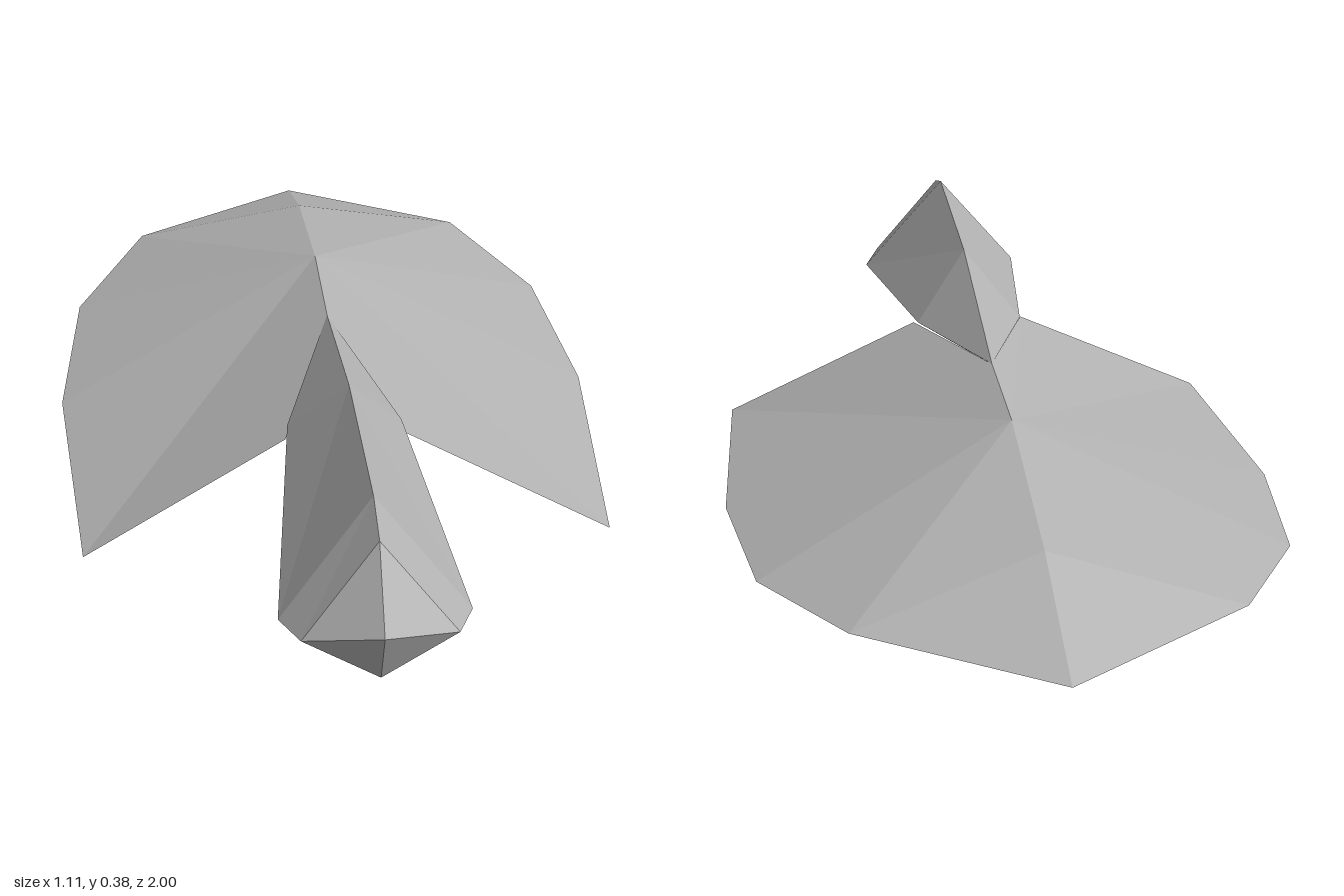
import * as THREE from 'three';

// Builds a faceted mesh from the +x half: each triangle is mirrored to -x.
function mirroredMesh(name, points, triangles, material) {
  const positions = [];
  for (const [a, b, c] of triangles) {
    for (const key of [a, b, c]) positions.push(...points[key]);
    for (const key of [a, c, b]) {
      const [x, y, z] = points[key];
      positions.push(-x, y, z);
    }
  }
  const geometry = new THREE.BufferGeometry();
  geometry.setAttribute('position', new THREE.Float32BufferAttribute(positions, 3));
  geometry.computeVertexNormals();
  const mesh = new THREE.Mesh(geometry, material);
  mesh.name = name;
  return mesh;
}

export function createModel() {
  const group = new THREE.Group();
  group.name = 'shellAndBody';

  const grey = new THREE.MeshStandardMaterial({
    color: 0xb2b2b2, flatShading: true, side: THREE.DoubleSide,
  });
  grey.name = 'grey';

  // Thin shell: a fan of facets spreading from the apex to the rim
  const shellPoints = {
    apex: [0, 0.26, -0.3],
    ridge: [0, 0.265, -0.03],
    inner: [0.118, 0.21, 0.352],
    corner: [0.52, 0, 0.41],
    side: [0.557, 0.025, -0.13],
    shoulder: [0.515, 0.05, -0.5],
    hip: [0.365, 0.08, -0.775],
    back: [0, 0.18, -0.7],
    tail: [0, 0.07, -1],
  };
  const rim = ['ridge', 'inner', 'corner', 'side', 'shoulder', 'hip', 'back'];
  const shellFaces = [['back', 'hip', 'tail']];
  for (let i = 0; i < rim.length - 1; i++) shellFaces.push(['apex', rim[i], rim[i + 1]]);
  group.add(mirroredMesh('shell', shellPoints, shellFaces, grey));

  // Body: diamond cross-sections [top, side, bottom] from the shell to the front
  const rings = [
    [[0, 0.355, 0.4], [0.112, 0.222, 0.32], [0, 0.14, 0.34]],
    [[0, 0.375, 0.81], [0.174, 0.157, 0.86], [0, 0.055, 0.87]],
    [[0, 0.345, 0.905], [0.14, 0.167, 0.94], [0, 0.085, 0.95]],
  ];
  const bodyPoints = { root: [0, 0.265, -0.03], tip: [0, 0.205, 1] };
  rings.forEach((ring, r) => ring.forEach((p, j) => { bodyPoints[`${r}${j}`] = p; }));
  const bodyFaces = [];
  for (let j = 0; j < 2; j++) {
    bodyFaces.push(['root', `0${j}`, `0${j + 1}`], ['tip', `2${j + 1}`, `2${j}`]);
    for (let r = 0; r < 2; r++) {
      const [a, b] = [`${r}${j}`, `${r}${j + 1}`];
      const [c, d] = [`${r + 1}${j}`, `${r + 1}${j + 1}`];
      bodyFaces.push([a, c, d], [a, d, b]);
    }
  }
  group.add(mirroredMesh('body', bodyPoints, bodyFaces, grey));

  return group;
}
